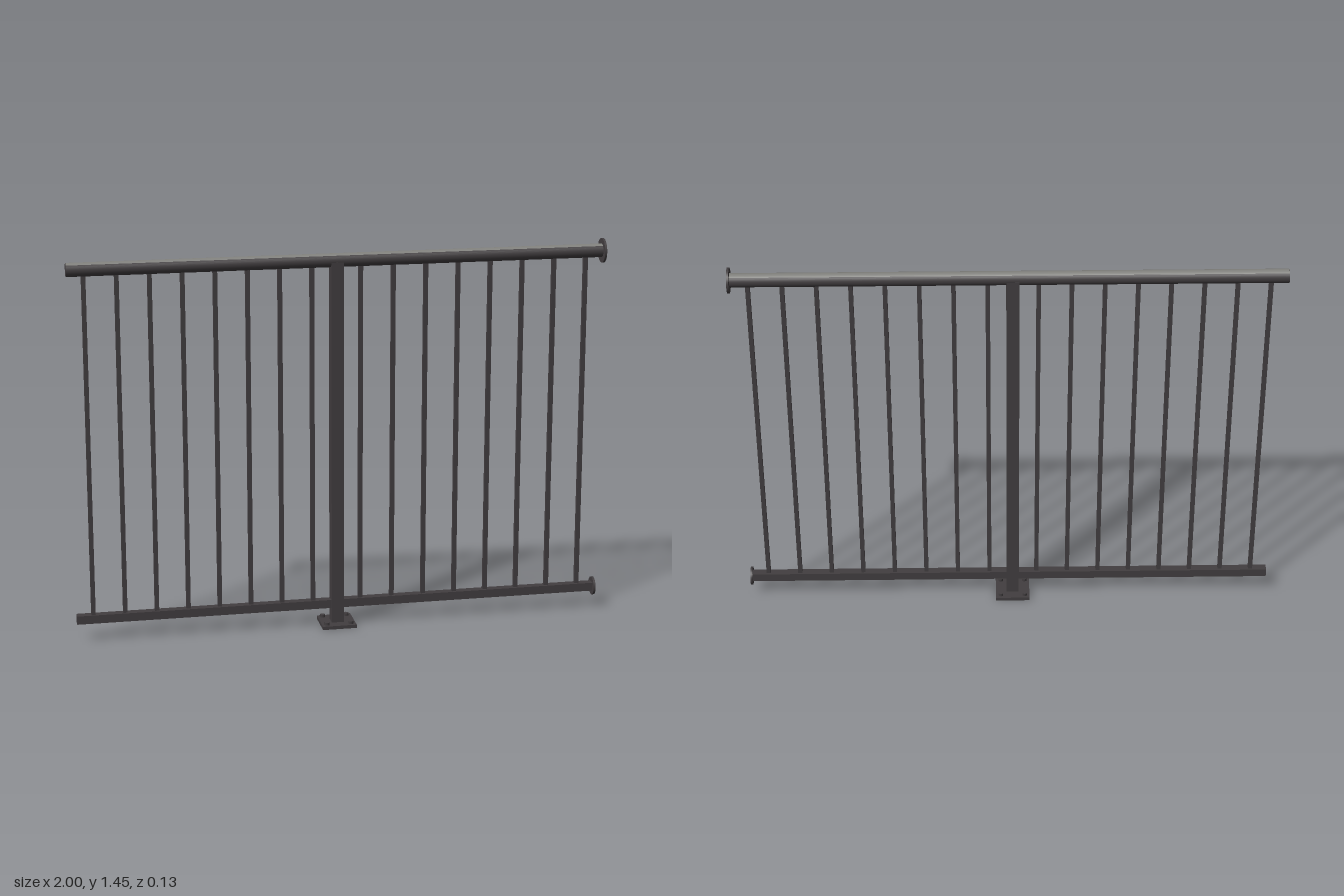
import * as THREE from 'three';

export function createModel() {
  const model = new THREE.Group();
  model.name = 'railing';

  const darkMetal = new THREE.MeshStandardMaterial({ color: 0x423e40 });
  darkMetal.name = 'dark metal';
  const greyStrip = new THREE.MeshStandardMaterial({ color: 0x82827e, side: THREE.DoubleSide });
  greyStrip.name = 'grey strip';

  const add = (name, geometry, x, y, z, material = darkMetal) => {
    const mesh = new THREE.Mesh(geometry, material);
    mesh.name = name;
    mesh.position.set(x, y, z);
    model.add(mesh);
    return mesh;
  };
  const box = (name, w, h, d, x, y, z) => add(name, new THREE.BoxGeometry(w, h, d), x, y, z);
  // Round bar lying along x
  const rod = (name, radius, length, x, y) =>
    add(name, new THREE.CylinderGeometry(radius, radius, length, 32).rotateZ(Math.PI / 2), x, y, 0);

  const postX = -0.015, topY = 1.405, bottomY = 0.085;

  // Handrail with a pale strip along its crown
  rod('handrail', 0.025, 1.994, -0.003, topY);
  const arc = 0.72;
  const strip = new THREE.CylinderGeometry(0.0258, 0.0258, 1.992, 8, 1, true, Math.PI / 2 - arc, arc * 2);
  add('handrailStrip', strip.rotateZ(Math.PI / 2), -0.003, topY, 0, greyStrip);

  // Lower rail
  box('bottomRail', 1.994, 0.032, 0.032, -0.003, bottomY, 0);

  // Wall flanges on the model's left end
  rod('topFlange', 0.046, 0.008, 0.996, topY);
  rod('bottomFlange', 0.035, 0.008, 0.996, bottomY);

  // Post, foot plate and bolts
  box('post', 0.047, 1.39, 0.05, postX, 0.705, 0);
  box('footPlate', 0.13, 0.013, 0.13, postX, 0.0065, 0);
  for (const sx of [-1, 1]) {
    for (const sz of [-1, 1]) {
      add('bolt', new THREE.CylinderGeometry(0.01, 0.01, 0.011, 6), postX + sx * 0.046, 0.018, sz * 0.046);
    }
  }

  // Balusters: eight on each side of the post
  for (let i = 0; i < 8; i++) {
    for (const x of [-0.938 + i * 0.1187, 0.075 + i * 0.1222]) {
      box('baluster', 0.016, 1.3, 0.016, x, 0.742, 0);
    }
  }

  return model;
}
